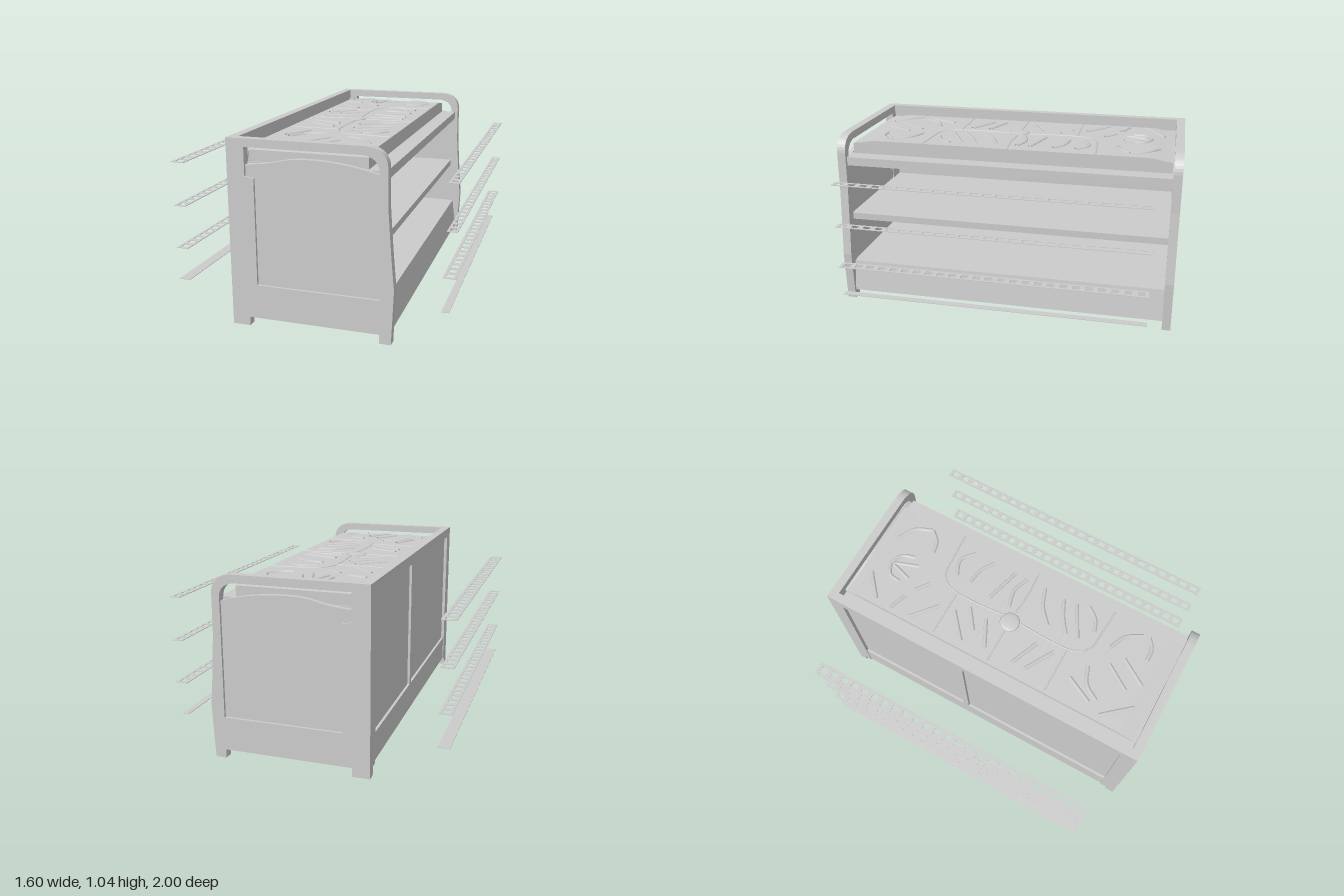
import * as THREE from 'three';

const material = new THREE.MeshStandardMaterial({ color: 0xcccccc, side: THREE.DoubleSide });

export function createModel() {
  const model = new THREE.Group();

  function add(name, geometry, x = 0, y = 0, z = 0) {
    const mesh = new THREE.Mesh(geometry, material);
    mesh.name = name;
    mesh.position.set(x, y, z);
    model.add(mesh);
    return mesh;
  }
  // box given by its limits
  function slab(name, x0, x1, y0, y1, z0, z1) {
    return add(name, new THREE.BoxGeometry(x1 - x0, y1 - y0, z1 - z0),
      (x0 + x1) / 2, (y0 + y1) / 2, (z0 + z1) / 2);
  }
  const extrude = (shape, depth) =>
    new THREE.ExtrudeGeometry(shape, { depth, bevelEnabled: false, curveSegments: 10 });
  const polygon = (points) => new THREE.Shape(points.map(([x, y]) => new THREE.Vector2(x, y)));

  // end frame: legs, bottom rail, swept front post and rounded top rail
  const frame = new THREE.Shape();
  frame.moveTo(-0.4, 0);
  frame.lineTo(-0.3, 0);
  frame.lineTo(-0.3, 0.05);
  frame.lineTo(0.43, 0.05);
  frame.lineTo(0.43, 0);
  frame.lineTo(0.493, 0);
  frame.lineTo(0.506, 0.3);
  frame.quadraticCurveTo(0.487, 0.5, 0.473, 0.72);
  frame.lineTo(0.47, 0.94);
  frame.quadraticCurveTo(0.462, 1.035, 0.35, 1.04);
  frame.lineTo(-0.4, 1.04);
  frame.closePath();
  const opening = new THREE.Path();
  opening.moveTo(-0.25, 0.24);
  opening.lineTo(-0.25, 0.83);
  opening.lineTo(-0.3, 0.84);
  opening.lineTo(-0.3, 0.995);
  opening.lineTo(0.34, 0.995);
  opening.quadraticCurveTo(0.42, 0.985, 0.425, 0.92);
  opening.lineTo(0.43, 0.24);
  opening.closePath();
  frame.holes.push(opening);

  // inset end panel with a gently arched top edge
  const panel = new THREE.Shape();
  panel.moveTo(-0.31, 0.2);
  panel.lineTo(0.44, 0.2);
  panel.lineTo(0.44, 0.89);
  panel.bezierCurveTo(0.25, 0.95, 0, 0.96, -0.1, 0.93);
  panel.quadraticCurveTo(-0.2, 0.905, -0.31, 0.9);
  panel.closePath();

  for (const side of [-1, 1]) {
    add('endFrame', extrude(frame, 0.05), 0, 0, side > 0 ? 0.95 : -1);
    add('endPanel', extrude(panel, 0.03), 0, 0, side > 0 ? 0.955 : -0.985);
  }

  // carcass: base with raked front, shelf and top deck
  const base = polygon([[-0.38, 0.05], [0.48, 0.05], [0.455, 0.24], [-0.38, 0.24]]);
  add('base', extrude(base, 1.91), 0, 0, -0.955);
  slab('middleShelf', -0.37, 0.43, 0.51, 0.55, -0.955, 0.955);
  slab('topDeck', -0.37, 0.45, 0.86, 0.91, -0.955, 0.955);

  // back wall framed by rails and a middle stile
  slab('backPanel', -0.38, -0.36, 0.2, 1.0, -0.955, 0.955);
  slab('backTopRail', -0.4, -0.35, 0.98, 1.04, -0.955, 0.955);
  slab('backBottomRail', -0.395, -0.37, 0.06, 0.22, -0.955, 0.955);
  slab('backStile', -0.395, -0.37, 0.22, 0.98, -0.14, -0.1);
  for (const z of [-0.93, 0.93]) slab('backPost', -0.4, -0.36, 0.05, 0.98, z - 0.025, z + 0.025);
  slab('backLedge', -0.36, -0.295, 0.9, 0.965, -0.95, 0.95);

  // padded top, dropping slightly towards both ends
  const cushionTop = (z) => 0.992 - 0.02 * THREE.MathUtils.smoothstep(Math.abs(z), 0.8, 0.95);
  const cushion = new THREE.BoxGeometry(0.65, 0.08, 1.89, 1, 1, 48);
  const corners = cushion.attributes.position;
  for (let i = 0; i < corners.count; i++) {
    corners.setY(i, corners.getY(i) > 0 ? cushionTop(corners.getZ(i)) : 0.91);
  }
  cushion.computeVertexNormals();
  add('cushion', cushion, 0.03);

  // raised ridge running through [x, z] points on the cushion
  function ridge(name, points, radius) {
    const curve = new THREE.CatmullRomCurve3(
      points.map(([x, z]) => new THREE.Vector3(x, cushionTop(z) - radius * 0.3, z)));
    add(name, new THREE.TubeGeometry(curve, 16, radius, 8));
  }
  // seams between the cushion fields
  for (const z of [-0.36, 0, 0.37]) ridge('seam', [[-0.28, z], [0, z]], 0.005);
  for (const s of [-1, 1]) {
    ridge('seam', [[0.01, 0.06 * s], [0, 0.25 * s], [0.01, 0.4 * s], [0.06, 0.48 * s],
      [0.2, 0.5 * s], [0.35, 0.51 * s]], 0.006);
  }
  ridge('seam', [[0.06, 0], [0.2, 0.01], [0.35, 0]], 0.006);
  const knot = add('knot', new THREE.SphereGeometry(0.06, 16, 8), -0.01, cushionTop(0), 0);
  knot.scale.y = 0.15;

  // leaf pattern strokes: x, z of both ends, sideways bend
  const strokes = [
    [-0.26, -0.76, -0.12, -0.88, 0], [-0.27, -0.66, -0.16, -0.62, 0],
    [-0.26, -0.53, -0.12, -0.41, 0], [-0.1, -0.59, -0.02, -0.53, 0],
    [-0.25, -0.19, -0.1, -0.32, 0], [-0.16, -0.16, -0.04, -0.25, 0],
    [-0.22, -0.05, -0.06, -0.13, 0], [0.1, -0.33, 0.28, -0.26, 0.02],
    [0.1, -0.42, 0.28, -0.39, 0.05], [0.07, -0.18, 0.28, -0.12, 0],
    [0.07, -0.05, 0.28, -0.04, 0.03], [-0.22, 0.13, -0.05, 0.2, 0],
    [-0.22, 0.21, -0.05, 0.31, 0], [0.08, 0.2, 0.28, 0.08, 0.02],
    [0.08, 0.32, 0.27, 0.21, 0.01], [0.09, 0.39, 0.28, 0.29, 0],
    [0.17, 0.46, 0.3, 0.36, -0.02], [-0.22, 0.62, -0.14, 0.46, 0],
    [-0.19, 0.65, -0.03, 0.52, 0.03], [-0.26, 0.7, -0.12, 0.86, 0],
    [-0.06, 0.77, 0.04, 0.62, 0], [0.01, 0.84, 0.11, 0.68, 0],
    [0.13, 0.58, 0.29, 0.72, 0.03], [0.16, 0.8, 0.3, 0.75, -0.02],
    [0.15, -0.86, 0.29, -0.7, 0.03], [0.16, -0.62, 0.29, -0.7, -0.02],
    [-0.1, -0.7, -0.02, -0.81, 0.03], [0.08, -0.7, -0.02, -0.81, -0.03],
    [-0.06, -0.66, -0.02, -0.79, 0], [0.04, -0.65, -0.01, -0.79, 0],
  ];
  for (const [x0, z0, x1, z1, bend] of strokes) {
    const length = Math.hypot(x1 - x0, z1 - z0);
    const middle = [(x0 + x1) / 2 + (z1 - z0) / length * bend, (z0 + z1) / 2 - (x1 - x0) / length * bend];
    ridge('leafRidge', [[x0, z0], middle, [x1, z1]], 0.013);
  }

  // thin floating strips, plain or pierced by a row of square holes
  function strip(x0, x1, y, holes) {
    const shape = polygon([[x0, -0.87], [x1, -0.87], [x1, 0.89], [x0, 0.89]]);
    const edge = (x1 - x0) * 0.22;
    for (let i = 0; i < holes; i++) {
      const c = -0.83 + i * 1.68 / (holes - 1);
      shape.holes.push(polygon([[x0 + edge, c - 0.02], [x0 + edge, c + 0.02],
        [x1 - edge, c + 0.02], [x1 - edge, c - 0.02]]));
    }
    add('floatingStrip', extrude(shape, 0.003).rotateX(Math.PI / 2), 0, y, 0);
  }
  strip(0.745, 0.8, 0.86, 25);
  strip(0.745, 0.8, 0.61, 25);
  strip(0.73, 0.8, 0.36, 25);
  strip(0.73, 0.77, 0.172, 0);
  strip(-0.8, -0.72, 0.86, 25);
  strip(-0.795, -0.725, 0.61, 25);
  strip(-0.795, -0.725, 0.361, 25);
  strip(-0.79, -0.725, 0.173, 0);

  return model;
}
